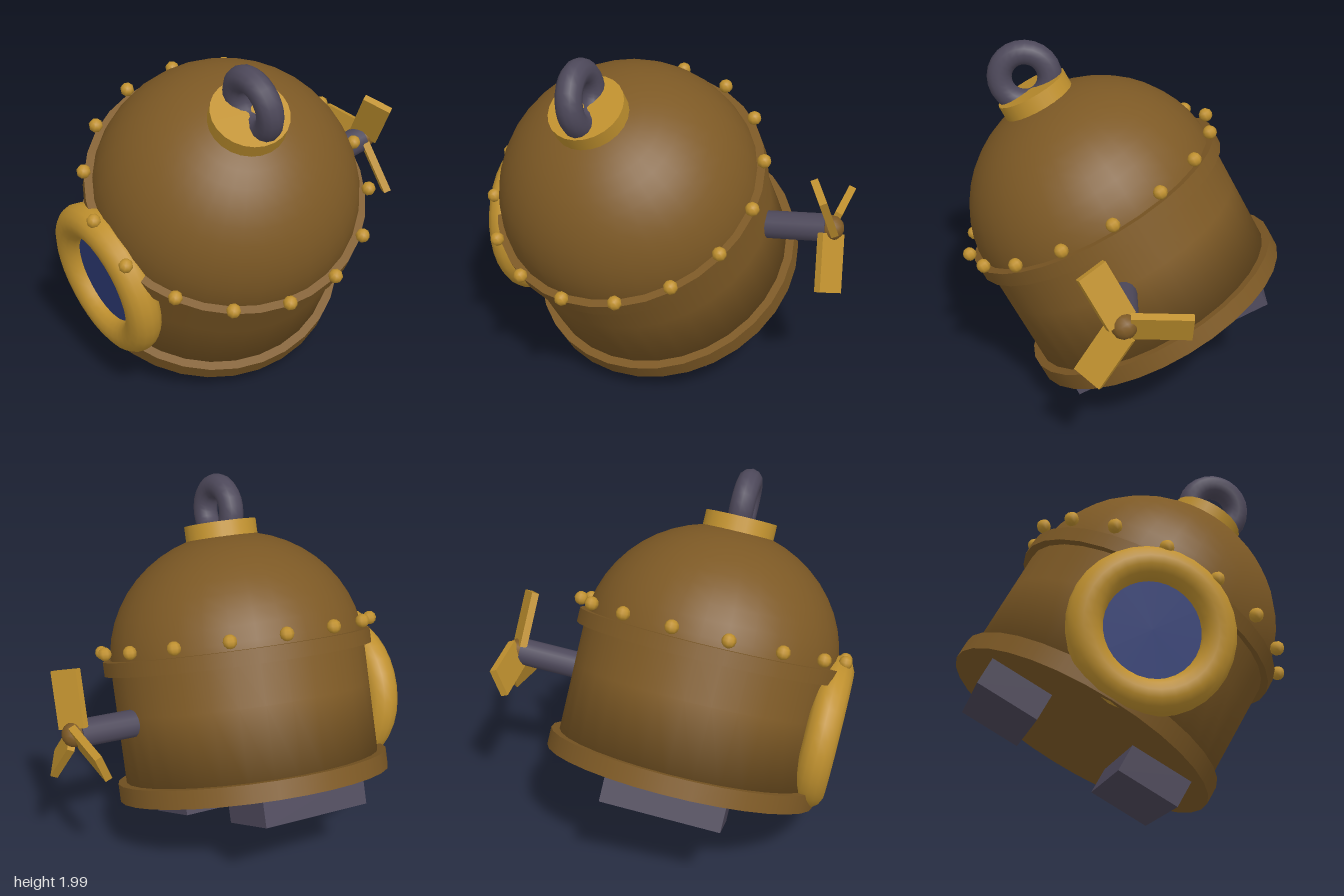
import * as THREE from 'three';

const mat = (name, color) => {
  const m = new THREE.MeshStandardMaterial({ color });
  m.name = name;
  return m;
};

export function createModel() {
  const bronze = mat('bronze', 0x7d5925);
  const brass = mat('brass', 0xbf902e);
  const iron = mat('dark iron', 0x4d485a);
  const glass = mat('blue glass', 0x2f3d78);

  const root = new THREE.Group();
  root.name = 'divingBell';
  const bell = new THREE.Group();
  bell.name = 'tiltedBell';
  root.add(bell);

  const add = (name, geometry, material, x = 0, y = 0, z = 0, parent = bell) => {
    const m = new THREE.Mesh(geometry, material);
    m.name = name;
    m.position.set(x, y, z);
    parent.add(m);
    return m;
  };
  const lathe = (points) =>
    new THREE.LatheGeometry(points.map(([r, y]) => new THREE.Vector2(r, y)), 32);

  // Barrel with softly shaded lower edge, and dome
  add('barrel', lathe([[0, -0.68], [0.71, -0.68], [0.71, -0.25], [0.71, 0.02]]), bronze);
  const dome = add('dome', new THREE.SphereGeometry(0.71, 32, 12, 0, Math.PI * 2, 0, Math.PI / 2), bronze);
  dome.scale.y = 0.95;

  // Flanges
  add('upperFlange', new THREE.CylinderGeometry(0.75, 0.75, 0.08, 32), bronze, 0, 0.01, 0);
  add('baseFlange', new THREE.CylinderGeometry(0.757, 0.757, 0.1, 32), bronze, 0, -0.68, 0);

  // Ring of bolts
  const boltGeometry = new THREE.SphereGeometry(0.038, 8, 6);
  for (let i = 0; i < 16; i++) {
    const a = ((i + 0.5) / 16) * Math.PI * 2;
    add('bolt', boltGeometry, brass, Math.sin(a) * 0.755, 0.1, Math.cos(a) * 0.755);
  }

  // Crown cap and lifting ring
  add('crownCap', new THREE.CylinderGeometry(0.2, 0.2, 0.1, 24), brass, 0, 0.68, 0);
  add('liftingRing', new THREE.TorusGeometry(0.135, 0.067, 12, 24), iron, 0, 0.8, 0);

  // Porthole
  add('portholeRim', new THREE.TorusGeometry(0.337, 0.093, 14, 32), brass, 0, -0.305, 0.71);
  const pane = add('portholeGlass', new THREE.CylinderGeometry(0.3, 0.3, 0.06, 32), glass, 0, -0.305, 0.695);
  pane.rotation.x = Math.PI / 2;

  // Feet
  for (const side of [-1, 1]) {
    add('foot', new THREE.BoxGeometry(0.35, 0.18, 0.65), iron, side * 0.413, -0.79, 0);
  }

  // Propeller on its shaft
  const shaft = add('propellerShaft', new THREE.CylinderGeometry(0.075, 0.075, 0.4, 16), iron, 0, -0.28, -0.83);
  shaft.rotation.x = Math.PI / 2;
  const propeller = new THREE.Group();
  propeller.name = 'propeller';
  propeller.position.set(0, -0.28, -1.05);
  bell.add(propeller);
  add('propellerHub', new THREE.SphereGeometry(0.068, 12, 8), bronze, 0, 0, 0, propeller);
  for (let i = 0; i < 3; i++) {
    const arm = new THREE.Group();
    arm.name = 'bladeArm';
    arm.rotation.z = (i * Math.PI * 2) / 3;
    propeller.add(arm);
    const blade = add('blade', new THREE.BoxGeometry(0.165, 0.31, 0.04), brass, 0, 0.185, 0, arm);
    blade.rotation.y = 0.48;
  }

  // Lean the whole bell over
  const up = new THREE.Vector3(0.367, 0.874, 0.317).normalize();
  const front = new THREE.Vector3(-0.419, -0.149, 0.898);
  const left = new THREE.Vector3().crossVectors(up, front).normalize();
  front.crossVectors(left, up);
  bell.quaternion.setFromRotationMatrix(new THREE.Matrix4().makeBasis(left, up, front));
  bell.position.set(0.092, 1.095, 0.187);
  return root;
}
